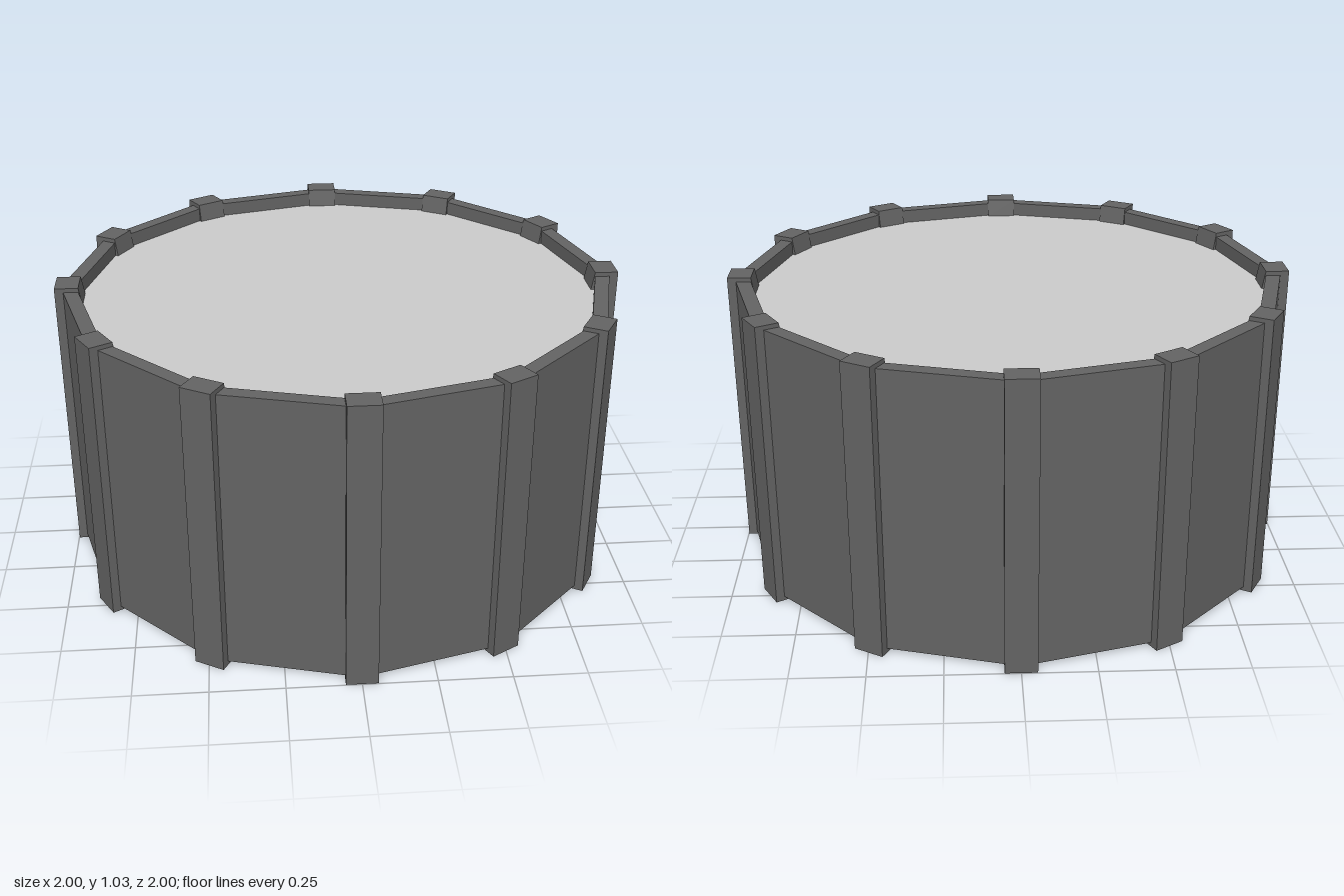
import * as THREE from 'three';

const SIDES = 12;
const HEIGHT = 1.03;

export function createModel() {
  const model = new THREE.Group();
  const dark = new THREE.MeshStandardMaterial({ color: 0x636363, flatShading: true });
  const light = new THREE.MeshStandardMaterial({ color: 0xcccccc, flatShading: true });

  const add = (name, geometry, material) => {
    const mesh = new THREE.Mesh(geometry, material);
    mesh.name = name;
    model.add(mesh);
    return mesh;
  };

  // Twelve-sided wall: a closed rectangular section turned around y
  const section = [[0.93, 0.015], [0.982, 0.015], [0.982, 1.015], [0.93, 1.015], [0.93, 0.015]]
    .map(([r, y]) => new THREE.Vector2(r, y));
  add('wall', new THREE.LatheGeometry(section, SIDES), dark);

  // Filling, recessed below the rim at both ends
  const filling = new THREE.CylinderGeometry(0.95, 0.95, 0.9, SIDES);
  filling.translate(0, HEIGHT / 2, 0);
  add('filling', filling, light);

  // Corner posts: inner face tapers slightly towards both ends
  const width = 0.108;
  const profile = new THREE.Shape([
    [0.915, 0], [0.998, 0], [0.998, HEIGHT], [0.915, HEIGHT], [0.904, 0.965], [0.904, 0.065],
  ].map(([r, y]) => new THREE.Vector2(r, y)));
  const postGeometry = new THREE.ExtrudeGeometry(profile, { depth: width, bevelEnabled: false });
  postGeometry.translate(0, 0, -width / 2);
  for (let i = 0; i < SIDES; i++) {
    add(`post${i + 1}`, postGeometry, dark).rotation.y = (i / SIDES) * Math.PI * 2;
  }

  return model;
}
